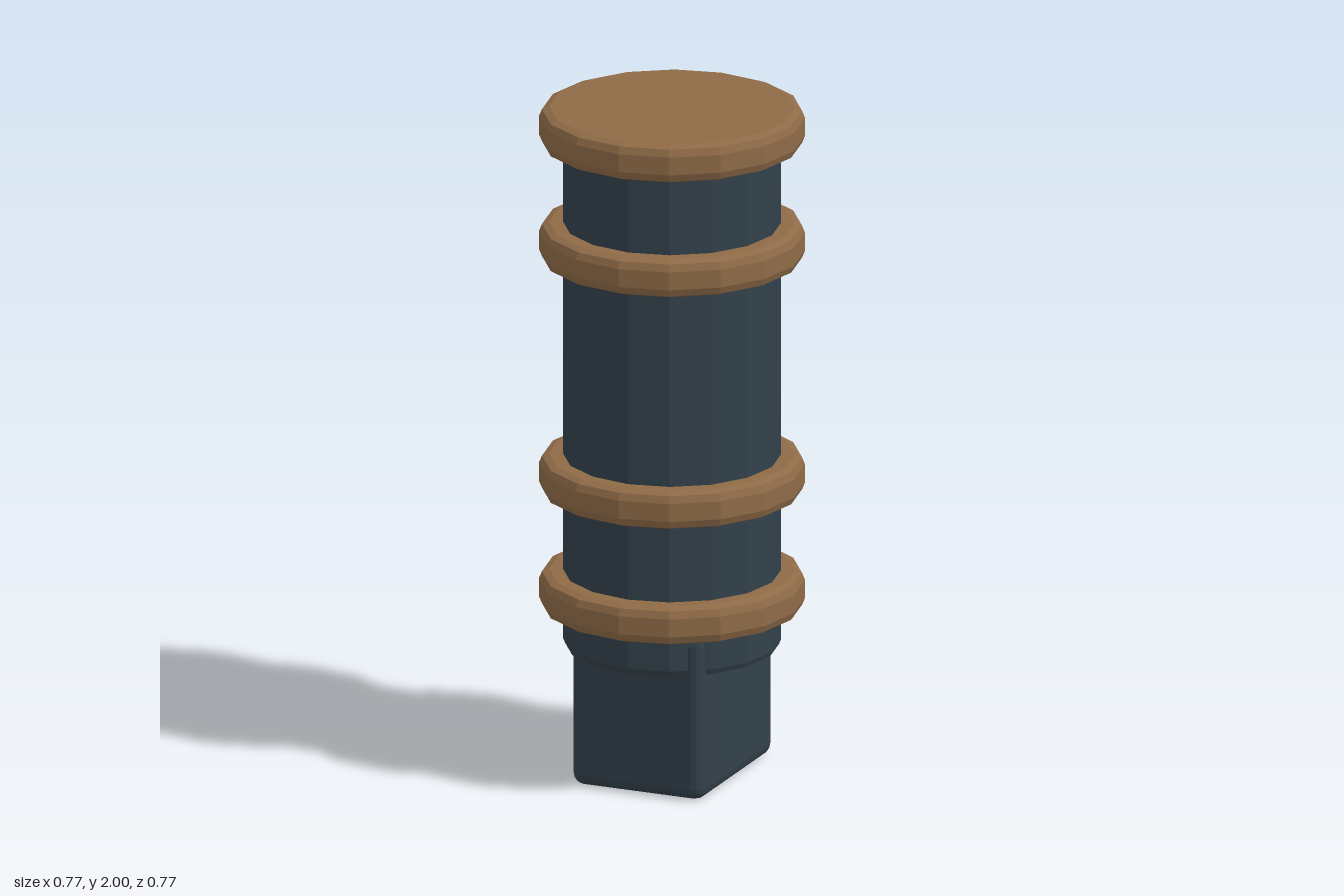
import * as THREE from 'three';
import { RoundedBoxGeometry } from 'three/addons/geometries/RoundedBoxGeometry.js';

const SIDES = 16;

// Faceted drum with a two-step rounded rim at both ends
function drumGeometry(radius, bottom, top, bevel) {
  const points = [new THREE.Vector2(0, bottom)];
  for (let i = 0; i <= 2; i++) {
    const a = (i * Math.PI) / 4;
    points.push(new THREE.Vector2(
      radius - bevel + Math.sin(a) * bevel, bottom + bevel - Math.cos(a) * bevel));
  }
  for (let i = 2; i >= 0; i--) {
    const a = (i * Math.PI) / 4;
    points.push(new THREE.Vector2(
      radius - bevel + Math.sin(a) * bevel, top - bevel + Math.cos(a) * bevel));
  }
  points.push(new THREE.Vector2(0, top));
  return new THREE.LatheGeometry(points, SIDES);
}

export function createModel() {
  const group = new THREE.Group();
  group.name = 'bandedPeg';

  const steel = new THREE.MeshStandardMaterial({ color: 0x33414b, flatShading: true });
  steel.name = 'darkSteel';
  const bronze = new THREE.MeshStandardMaterial({ color: 0x8f6b47, flatShading: true });
  bronze.name = 'bronze';

  const add = (name, geometry, material) => {
    const mesh = new THREE.Mesh(geometry, material);
    mesh.name = name;
    group.add(mesh);
    return mesh;
  };

  // Main shaft, its top hidden inside the cap
  add('shaft', drumGeometry(0.314, 0.373, 1.95, 0.022), steel);

  // Square foot, its upper corners breaking through the shaft
  add('foot', new RoundedBoxGeometry(0.414, 0.5, 0.52, 2, 0.035), steel).position.y = 0.25;

  // Three bands and the end cap share one profile
  const bandGeometry = drumGeometry(0.383, -0.057, 0.057, 0.03);
  const bands = { lowerBand: 0.547, middleBand: 0.896, upperBand: 1.596, cap: 1.943 };
  for (const [name, y] of Object.entries(bands)) {
    add(name, bandGeometry, bronze).position.y = y;
  }

  return group;
}
